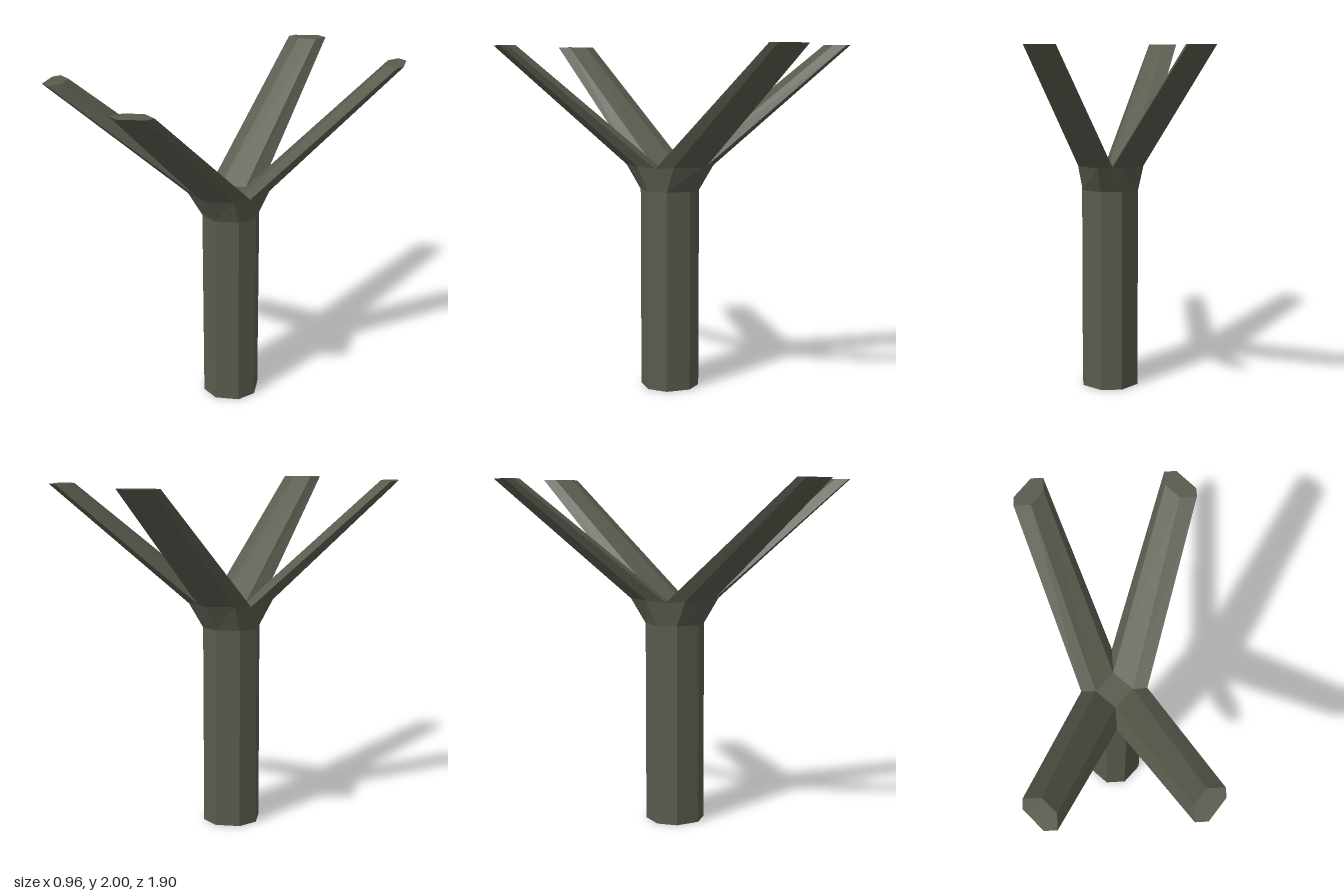
import * as THREE from 'three';

const bark = new THREE.MeshStandardMaterial({ color: 0x5b5a4e, flatShading: true });
bark.name = 'bark';

// Wall between two matching rings, which run counter-clockwise seen from above
function wall(lower, upper, closed) {
  const tris = [];
  const n = lower.length;
  for (let i = 0; i < (closed ? n : n - 1); i++) {
    const j = (i + 1) % n;
    tris.push(lower[i], lower[j], upper[j], lower[i], upper[j], upper[i]);
  }
  return tris;
}

// Upward-facing flat cap
function cap(ring) {
  const tris = [];
  for (let i = 1; i < ring.length - 1; i++) tris.push(ring[0], ring[i], ring[i + 1]);
  return tris;
}

function makeMesh(name, tris) {
  const geometry = new THREE.BufferGeometry();
  geometry.setAttribute('position', new THREE.Float32BufferAttribute(tris.flat(), 3));
  geometry.computeVertexNormals();
  const mesh = new THREE.Mesh(geometry, bark);
  mesh.name = name;
  return mesh;
}

// Mirror a ring into another quadrant, keeping its direction
function mirror(ring, sx, sz) {
  const out = ring.map(([x, y, z]) => [x * sx, y, z * sz]);
  return sx * sz < 0 ? out.reverse() : out;
}

export function createModel() {
  const group = new THREE.Group();
  group.name = 'forkedTrunk';

  // Eight-sided trunk
  const trunkRing = (y) => [
    [0.06, 0.16], [0.16, 0.06], [0.16, -0.06], [0.06, -0.16],
    [-0.06, -0.16], [-0.16, -0.06], [-0.16, 0.06], [-0.06, 0.16],
  ].map(([x, z]) => [x, y, z]);
  const base = trunkRing(0);
  const shoulder = 1.17;
  group.add(makeMesh('trunk', [
    ...wall(base, trunkRing(shoulder), true),
    ...cap([...base].reverse()),
  ]));

  // One quadrant of the flared collar, and the branch that grows from it
  const collarLow = [[0, 0.16], [0.06, 0.16], [0.16, 0.06], [0.16, 0]]
    .map(([x, z]) => [x, shoulder, z]);
  const root = [
    [0, 1.32, 0.24], [0.085, 1.315, 0.24], [0.185, 1.315, 0.115],
    [0.185, 1.305, 0], [0.105, 1.3, 0], [0, 1.3, 0.105],
  ];
  const tip = [[0.32, 0.95], [0.385, 0.95], [0.48, 0.84], [0.48, 0.79], [0.39, 0.79], [0.32, 0.87]]
    .map(([x, z]) => [x, 2, z]);

  for (const [sx, sz, side] of [
    [1, 1, 'FrontLeft'], [-1, 1, 'FrontRight'], [1, -1, 'BackLeft'], [-1, -1, 'BackRight'],
  ]) {
    const m = (ring) => mirror(ring, sx, sz);
    group.add(makeMesh('collar' + side, wall(m(collarLow), m(root.slice(0, 4)), false)));
    group.add(makeMesh('branch' + side, [...wall(m(root), m(tip), true), ...cap(m(tip))]));
  }

  // Small diamond in the crotch between the branches
  group.add(makeMesh('crotch', cap([
    [0, 1.3, 0.105], [0.105, 1.3, 0], [0, 1.3, -0.105], [-0.105, 1.3, 0],
  ])));

  return group;
}
